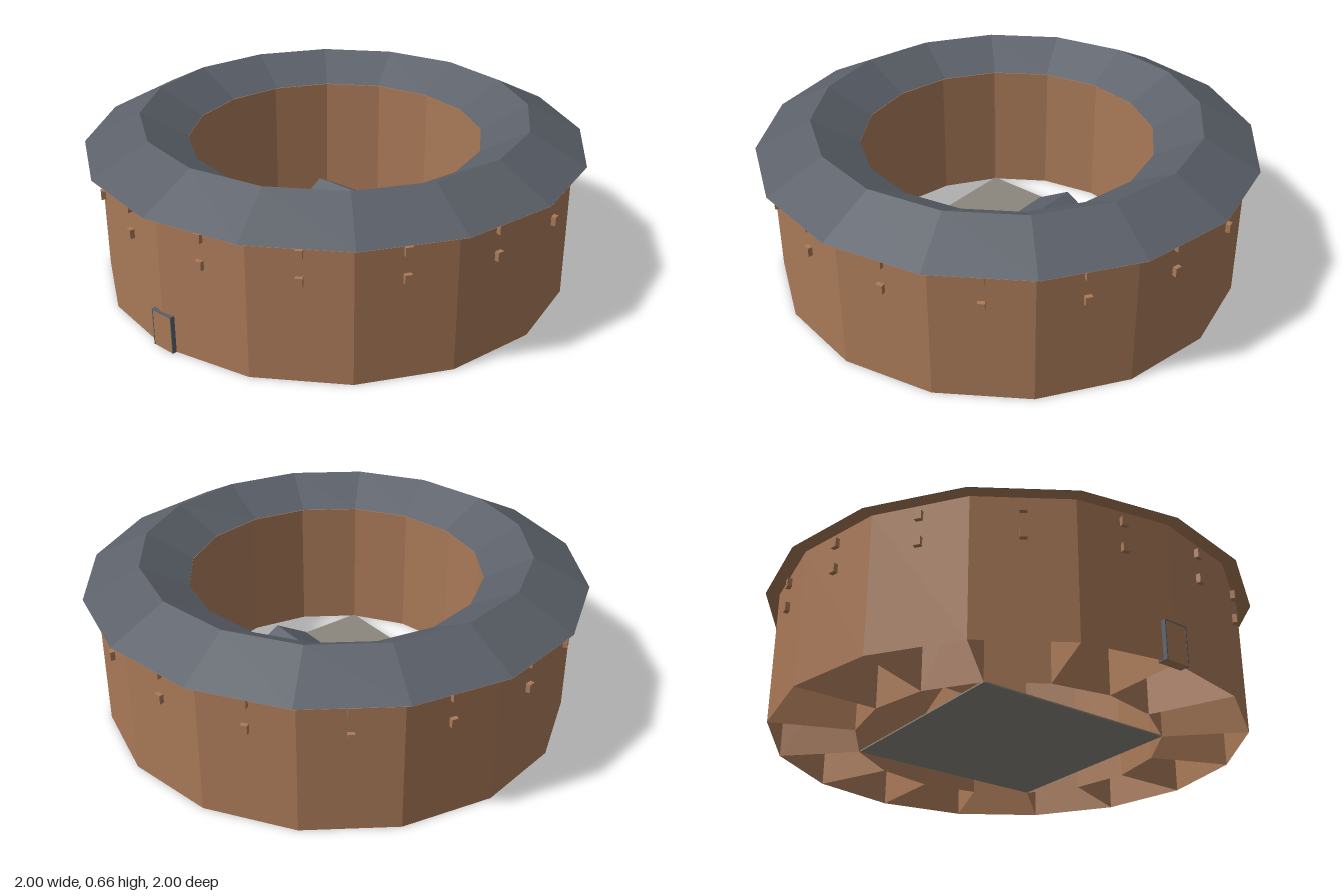
import * as THREE from 'three';

const SIDES = 16;
const WALL_R = 0.945, COURT_R = 0.61, EAVE_Y = 0.55;

export function createModel() {
  const model = new THREE.Group();
  model.name = 'roundHouse';

  const mat = (name, color) => {
    const m = new THREE.MeshStandardMaterial({ color, flatShading: true, side: THREE.DoubleSide });
    m.name = name;
    return m;
  };
  const clay = mat('clay', 0xa97957);
  const tile = mat('roofTile', 0x5b6069);
  const stone = mat('courtyardStone', 0x8b877d);

  const add = (name, geometry, material, x = 0, y = 0, z = 0, parent = model) => {
    const mesh = new THREE.Mesh(geometry, material);
    mesh.name = name;
    mesh.position.set(x, y, z);
    parent.add(mesh);
    return mesh;
  };
  const box = (w, h, d) => new THREE.BoxGeometry(w, h, d);
  const ring = (points) =>
    new THREE.LatheGeometry(points.map(([r, y]) => new THREE.Vector2(r, y)), SIDES);

  // Ring building: thin outer and inner walls, open at the bottom
  add('outerWall', ring([[WALL_R, 0], [WALL_R, EAVE_Y]]), clay);
  add('courtyardWall', ring([[COURT_R, 0.556], [COURT_R, 0]]), clay);

  // Ring roof with a ridge, and a flat ceiling that also forms the eaves
  add('ringRoof', ring([[1, EAVE_Y], [0.777, 0.663], [0.59, 0.56]]), tile);
  add('eaves', ring([[0.59, 0.558], [1, EAVE_Y - 0.001]]), clay);

  // Radial partitions at the corners, and two rows of windows on each side
  const apothem = WALL_R * Math.cos(Math.PI / SIDES);
  const partition = new THREE.PlaneGeometry(WALL_R - COURT_R, EAVE_Y);
  const windowBox = box(0.027, 0.035, 0.036);
  for (let i = 0; i < SIDES; i++) {
    const bay = new THREE.Group();
    bay.name = 'bay';
    bay.rotation.y = (i / SIDES) * Math.PI * 2;
    add('partition', partition, clay, 0, EAVE_Y / 2, (WALL_R + COURT_R) / 2, bay).rotation.y = Math.PI / 2;
    const face = new THREE.Group();
    face.name = 'windows';
    face.rotation.y = Math.PI / SIDES;
    for (const y of [0.4, 0.505]) add('window', windowBox, clay, 0, y, apothem, face);
    bay.add(face);
    model.add(bay);
  }

  // Front door with a narrow frame
  add('door', box(0.094, 0.147, 0.04), clay, 0, 0.0735, 0.932);
  for (const s of [-1, 1]) add('doorFrameSide', box(0.004, 0.15, 0.042), tile, s * 0.049, 0.075, 0.932);
  add('doorFrameTop', box(0.102, 0.004, 0.042), tile, 0, 0.149, 0.932);

  // Square courtyard
  add('courtyardFloor', box(0.86, 0.006, 0.86), stone, 0, 0.003, 0);

  // Small hall in the courtyard, with a gabled roof
  const hall = new THREE.Group();
  hall.name = 'hall';
  hall.position.z = -0.145;
  add('hallWalls', box(0.375, 0.154, 0.235), clay, 0, 0.083, 0, hall);
  add('hallEaves', box(0.44, 0.003, 0.29), clay, 0, 0.1585, 0, hall);
  const gable = new THREE.Shape([
    new THREE.Vector2(-0.145, 0), new THREE.Vector2(0.145, 0), new THREE.Vector2(0, 0.083),
  ]);
  const hallRoof = new THREE.ExtrudeGeometry(gable, { depth: 0.44, bevelEnabled: false });
  hallRoof.translate(0, 0, -0.22).rotateY(Math.PI / 2);
  add('hallRoof', hallRoof, [clay, tile], 0, 0.16, 0, hall);
  model.add(hall);

  return model;
}
